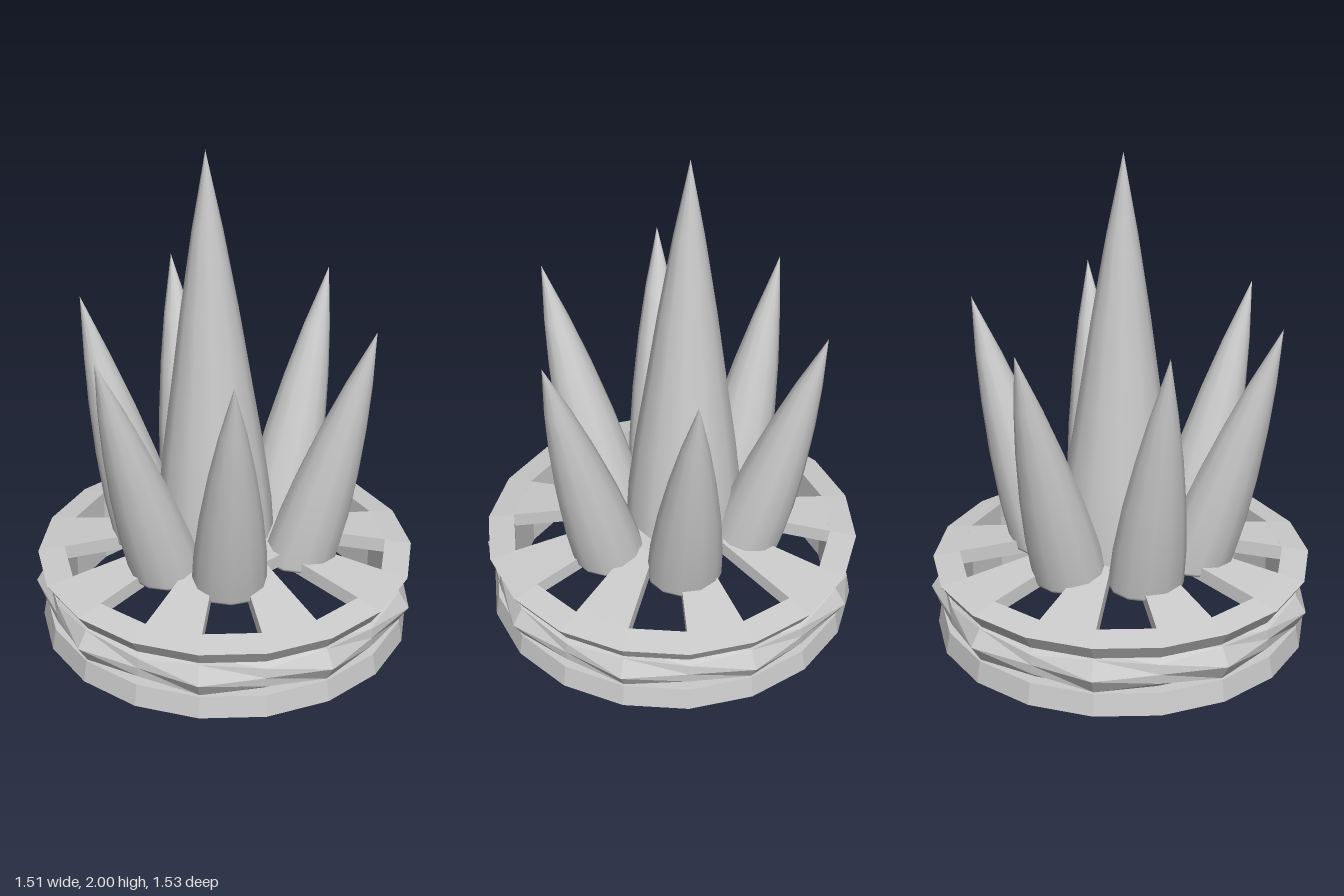
import * as THREE from 'three';

const SIDES = 18;
const STEP = (Math.PI * 2) / SIDES;
const flat = new THREE.MeshStandardMaterial({ color: 0xcccccc, flatShading: true });
const smooth = new THREE.MeshStandardMaterial({ color: 0xcccccc });

const lathe = (points, sides) =>
  new THREE.LatheGeometry(points.map(([r, y]) => new THREE.Vector2(r, y)), sides);

function addMesh(parent, name, geometry, material) {
  const mesh = new THREE.Mesh(geometry, material);
  mesh.name = name;
  parent.add(mesh);
  return mesh;
}

// Bulging belt whose profile alternates between pointed and pinched
function beltGeometry() {
  const pointed = [[0.68, 0.236], [0.725, 0.232], [0.768, 0.163], [0.725, 0.094], [0.68, 0.09]].reverse();
  const pinched = [[0.68, 0.236], [0.718, 0.204], [0.722, 0.163], [0.718, 0.122], [0.68, 0.09]].reverse();
  const geometry = lathe(pointed, SIDES);
  const pos = geometry.attributes.position;
  for (let i = 0; i <= SIDES; i++) {
    const profile = i % 2 ? pointed : pinched;
    profile.forEach(([r, y], j) =>
      pos.setXYZ(i * profile.length + j, r * Math.sin(i * STEP), y, r * Math.cos(i * STEP)));
  }
  geometry.computeVertexNormals();
  return geometry;
}

// Wedge spoke: a box bent between two angles, rising towards the middle
function spokeGeometry(start) {
  const geometry = new THREE.BoxGeometry(1, 1, 1);
  const pos = geometry.attributes.position;
  for (let i = 0; i < pos.count; i++) {
    const angle = start + (pos.getX(i) + 0.5) * STEP;
    const outer = pos.getZ(i) > 0;
    const r = outer ? 0.66 : 0.27;
    const y = (outer ? 0.319 : 0.39) - (pos.getY(i) > 0 ? 0 : 0.06);
    pos.setXYZ(i, r * Math.sin(angle), y, r * Math.cos(angle));
  }
  geometry.computeVertexNormals();
  return geometry;
}

// Curved spike, sheared so that its tip leans away from its base
function spikeGeometry(profile, sides, base, tip) {
  const y0 = profile[0][1];
  const height = profile[profile.length - 1][1] - y0;
  const kx = (tip[0] - base[0]) / height;
  const kz = (tip[1] - base[1]) / height;
  return lathe(profile, sides).applyMatrix4(new THREE.Matrix4().set(
    1, kx, 0, base[0] - kx * y0,
    0, 1, 0, 0,
    0, kz, 1, base[1] - kz * y0,
    0, 0, 0, 1));
}

export function createModel() {
  const model = new THREE.Group();
  model.name = 'spikedCrown';

  // Base band with its inner wall, and the belt around it
  addMesh(model, 'baseBand', lathe([
    [0.65, 0], [0.745, 0], [0.73, 0.09], [0.68, 0.09], [0.68, 0.236], [0.65, 0.236], [0.65, 0],
  ], SIDES), flat);
  addMesh(model, 'belt', beltGeometry(), flat);

  // Pierced top: rim, hub and nine spokes
  const top = new THREE.Group();
  top.name = 'piercedTop';
  model.add(top);
  addMesh(top, 'rim', lathe([
    [0.65, 0.235], [0.715, 0.235], [0.757, 0.3], [0.65, 0.321], [0.65, 0.235],
  ], SIDES), flat);
  addMesh(top, 'hub', lathe([[0, 0.33], [0.29, 0.33], [0.29, 0.385], [0, 0.4]], SIDES), flat);
  for (let i = 0; i < SIDES; i += 2) addMesh(top, 'spoke', spokeGeometry(i * STEP), flat);

  // Tall middle spike
  addMesh(model, 'middleSpike', spikeGeometry([
    [0, 0.33], [0.235, 0.33], [0.236, 0.34], [0.227, 0.52], [0.2, 0.75], [0.163, 1.0],
    [0.113, 1.35], [0.06, 1.68], [0, 2],
  ], 12, [-0.05, -0.015], [-0.08, 0.005]), smooth);

  // Six outer spikes leaning outwards, each given by its tip [x, y, z]
  const tips = [
    [0.165, 1.35, -0.58], [0.58, 1.35, -0.12], [0.315, 1.35, 0.53],
    [-0.22, 1.35, 0.6], [-0.55, 1.37, 0.16], [-0.46, 1.35, -0.4],
  ];
  for (const [x, y, z] of tips) {
    const k = 0.31 / Math.hypot(x, z);
    addMesh(model, 'outerSpike', spikeGeometry([
      [0, 0.325], [0.147, 0.325], [0.148, 0.335], [0.142, 0.5], [0.122, 0.7],
      [0.09, 0.92], [0.053, 1.12], [0, y],
    ], 12, [x * k, z * k], [x, z]), smooth);
  }
  return model;
}
